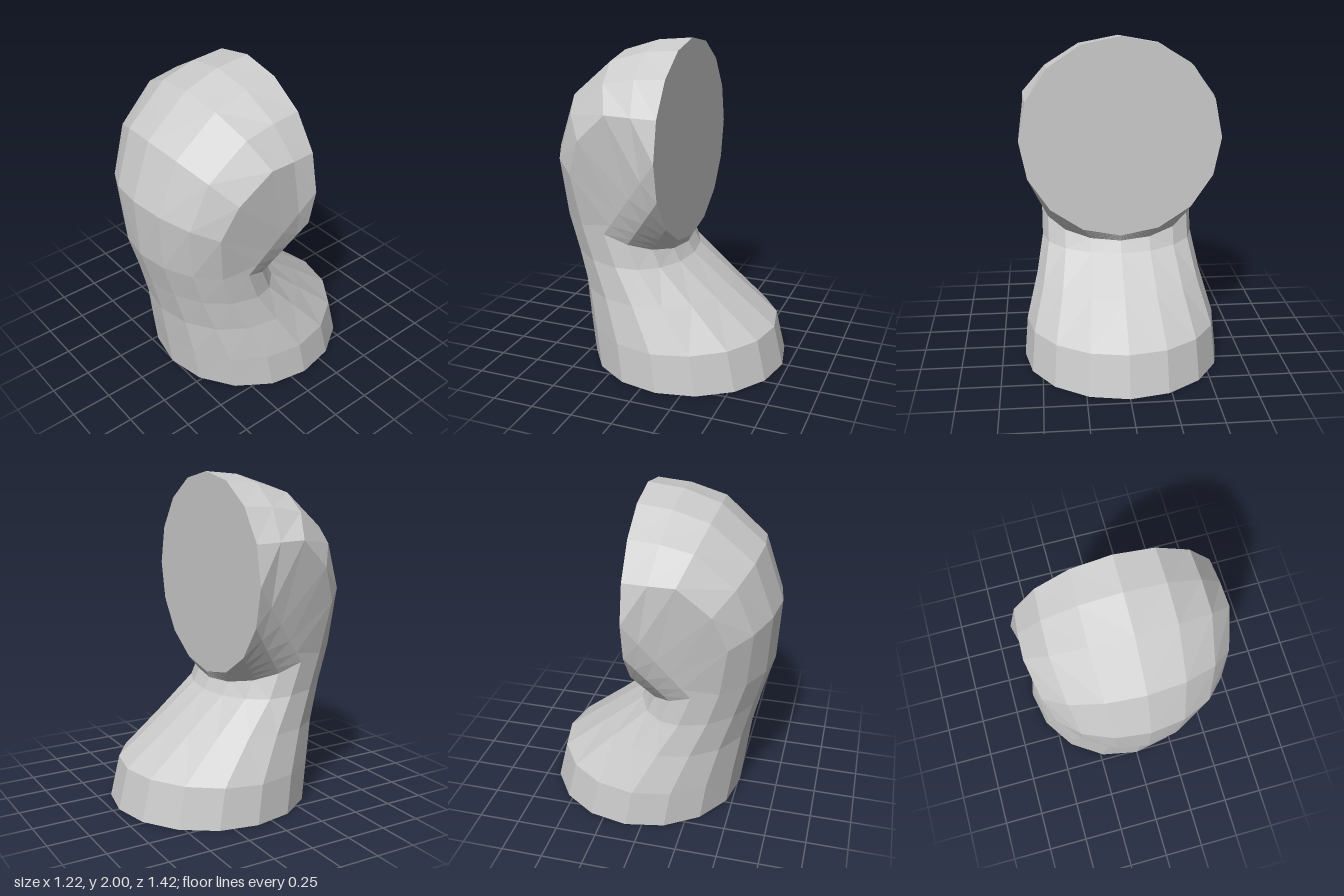
import * as THREE from 'three';

const SIDES = 16;

// Rings from the base up and round the bend to the vertical opening.
// o: front/outer point [z, y]; m: middle [z, y, half width] shaping the outer half;
// s: side point [z, y, half width]; i: inner point [z, y]. Both default as below.
const RINGS = [
  { o: [0.51, 0], m: [-0.1, 0, 0.61], i: [-0.71, 0] },
  { o: [0.54, 0.24], m: [-0.06, 0.235, 0.59], i: [-0.65, 0.25] },
  { o: [0.57, 0.49], m: [0.08, 0.49, 0.52], i: [-0.37, 0.47] },
  { o: [0.625, 0.73], m: [0.2, 0.7, 0.48], i: [-0.12, 0.67] },
  { o: [0.69, 0.97], m: [0.27, 0.9, 0.48], i: [-0.08, 0.74] },
  { o: [0.71, 1.35], m: [0.335, 1.18, 0.53], bend: 0.13 },
  { o: [0.59, 1.69], m: [0.27, 1.32, 0.585], bend: 0.3 },
  { o: [0.33, 1.91], m: [0.125, 1.46, 0.63], bend: 0.52 },
  { o: [0.11, 1.98], m: [0.01, 1.41, 0.625], bend: 0.75 },
  { o: [-0.1, 2], m: [-0.1, 1.39, 0.61], i: [-0.1, 0.78] },
];

// Inner half of the bend runs straight from the neck ring to the opening
const neck = RINGS[4], opening = RINGS[9];
const mix = (a, b, t) => a.map((v, k) => v + (b[k] - v) * t);
for (const r of RINGS) {
  r.s = r.bend ? mix(neck.m, opening.m, r.bend) : r.m;
  r.i = r.i ?? mix(neck.i, opening.i, r.bend);
}

function ringPoint(r, j) {
  const a = (j / SIDES) * Math.PI * 2;
  const c = Math.cos(a), s = Math.sin(a);
  const outer = c > 1e-6;
  const mid = outer ? r.m : r.s;
  const end = outer ? r.o : r.i;
  const t = Math.abs(c);
  return new THREE.Vector3(
    s * mid[2],
    mid[1] + (end[1] - mid[1]) * t,
    mid[0] + (end[0] - mid[0]) * t,
  );
}

function makeMesh(name, points) {
  const geometry = new THREE.BufferGeometry().setFromPoints(points);
  geometry.computeVertexNormals();
  const mesh = new THREE.Mesh(
    geometry,
    new THREE.MeshStandardMaterial({ color: 0xcccccc, flatShading: true }),
  );
  mesh.name = name;
  return mesh;
}

// Flat disc closing a ring
function cap(name, ring, flip) {
  const center = new THREE.Vector3();
  ring.forEach((p) => center.addScaledVector(p, 1 / SIDES));
  const points = [];
  ring.forEach((p, j) => {
    const q = ring[(j + 1) % SIDES];
    points.push(center, ...(flip ? [q, p] : [p, q]));
  });
  return makeMesh(name, points);
}

export function createModel() {
  const group = new THREE.Group();
  group.name = 'pipeElbow';

  const rings = RINGS.map((r) =>
    Array.from({ length: SIDES }, (_, j) => ringPoint(r, j)));

  // Bent body, mirrored diagonals on the two sides
  const skin = [];
  for (let i = 0; i < rings.length - 1; i++) {
    for (let j = 0; j < SIDES; j++) {
      const k = (j + 1) % SIDES;
      const a = rings[i][j], b = rings[i][k], c = rings[i + 1][k], d = rings[i + 1][j];
      if (j < SIDES / 2) skin.push(a, b, c, a, c, d);
      else skin.push(a, b, d, b, c, d);
    }
  }
  group.add(makeMesh('bentBody', skin));
  group.add(cap('baseCap', rings[0], true));
  group.add(cap('openingCap', rings[rings.length - 1], false));
  return group;
}
